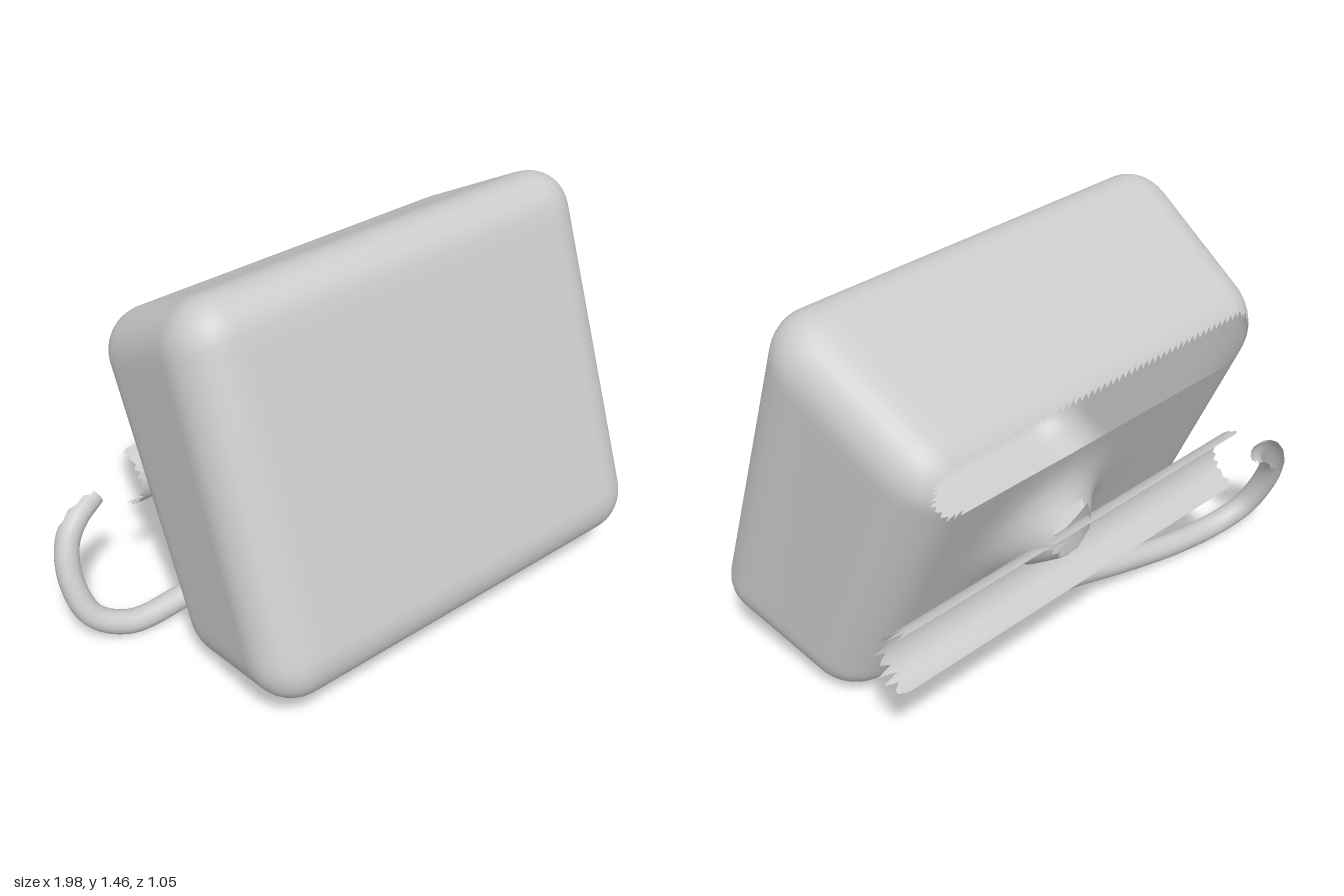
import * as THREE from 'three';
import { mergeVertices } from 'three/addons/utils/BufferGeometryUtils.js';

const BACK = -0.515; // plane where the rear surfaces end, left open
const mat = new THREE.MeshStandardMaterial({ color: 0xcccccc, side: THREE.DoubleSide });

// Remove the triangles lying behind the rear plane, leaving a ragged opening
function cutBack(geo) {
  const p = geo.attributes.position, idx = geo.index.array, keep = [];
  for (let i = 0; i < idx.length; i += 3) {
    const z = (p.getZ(idx[i]) + p.getZ(idx[i + 1]) + p.getZ(idx[i + 2])) / 3;
    if (z > BACK) keep.push(idx[i], idx[i + 1], idx[i + 2]);
  }
  geo.setIndex(keep);
  for (let i = 0; i < p.count; i++) p.setZ(i, Math.max(p.getZ(i), BACK - 0.005));
  return geo;
}

// Rounded box, warped to the leaning, tapered side profile, with a neck swelling from its back
function housingGeometry() {
  const half = [0.855, 0.67, 0.37], r = 0.16;
  let geo = new THREE.BoxGeometry(1.71, 1.34, 0.74, 56, 44, 26);
  geo.deleteAttribute('uv');
  geo.deleteAttribute('normal');
  geo = mergeVertices(geo, 1e-4);
  const p = geo.attributes.position;
  const v = new THREE.Vector3(), inner = new THREE.Vector3();
  const lim = new THREE.Vector3(half[0] - r, half[1] - r, half[2] - r);
  // side profile corners as (z, y)
  const frontTop = new THREE.Vector2(0.106, 1.524), frontLow = new THREE.Vector2(0.576, 0.174);
  const backTop = new THREE.Vector2(-0.59, 1.135), backLow = new THREE.Vector2(-0.095, 0.0);
  const a = new THREE.Vector2(), b = new THREE.Vector2();
  for (let i = 0; i < p.count; i++) {
    v.fromBufferAttribute(p, i);
    inner.copy(v).clamp(lim.clone().negate(), lim);
    v.sub(inner);
    if (v.lengthSq() > 0) v.setLength(r);
    v.add(inner);
    const t = (v.y / half[1] + 1) / 2, d = (v.z / half[2] + 1) / 2;
    a.lerpVectors(backLow, backTop, t);
    b.lerpVectors(frontLow, frontTop, t);
    a.lerp(b, d);
    const x = 0.077 + v.x * (0.92 + 0.08 * Math.min(1, d * 1.3));
    // neck swelling
    const rear = Math.max(0, 1 - d * 4);
    const bump = 0.2 * rear * Math.exp(-(((x - 0.22) / 0.17) ** 2) - ((a.y - 0.61) / 0.16) ** 2);
    p.setXYZ(i, x, a.y, a.x - bump);
  }
  geo.computeVertexNormals();
  return cutBack(geo);
}

// Half-round bar across the back, with one frayed end
function barGeometry() {
  const x0 = -0.65, x1 = 0.95, rows = 24, around = 24;
  const geo = new THREE.CylinderGeometry(0.115, 0.115, x1 - x0, around, rows, true, -Math.PI / 2, Math.PI);
  geo.rotateZ(-Math.PI / 2);
  geo.translate((x0 + x1) / 2, 0.52, -0.53);
  const p = geo.attributes.position;
  for (let i = 0; i < p.count; i++) {
    const fray = Math.sin(i * 2.7) * 0.035;
    if (p.getX(i) > x1 - 0.01) p.setX(i, x1 + fray);
    else if (p.getX(i) < x0 + 0.01) p.setX(i, x0 + fray * 0.3);
  }
  return cutBack(geo);
}

export function createModel() {
  const model = new THREE.Group();
  const add = (name, geo) => {
    const mesh = new THREE.Mesh(geo, mat);
    mesh.name = name;
    model.add(mesh);
    return mesh;
  };

  add('housing', housingGeometry());
  add('rearBar', barGeometry());

  // Cable running under the bar and looping up at the side
  const path = new THREE.CatmullRomCurve3([
    [0.25, 0.21, -0.27], [0.0, 0.19, -0.275], [-0.3, 0.115, -0.29], [-0.58, 0.06, -0.31],
    [-0.8, 0.046, -0.33], [-0.92, 0.11, -0.38], [-0.955, 0.24, -0.44],
    [-0.93, 0.37, -0.487], [-0.87, 0.445, -0.51], [-0.78, 0.485, -0.54],
  ].map((c) => new THREE.Vector3(...c)));
  add('cable', cutBack(new THREE.TubeGeometry(path, 90, 0.045, 14)));

  // Rounded cable tip
  add('cableTip', new THREE.SphereGeometry(0.045, 16, 12)).position.set(0.25, 0.21, -0.27);

  return model;
}
